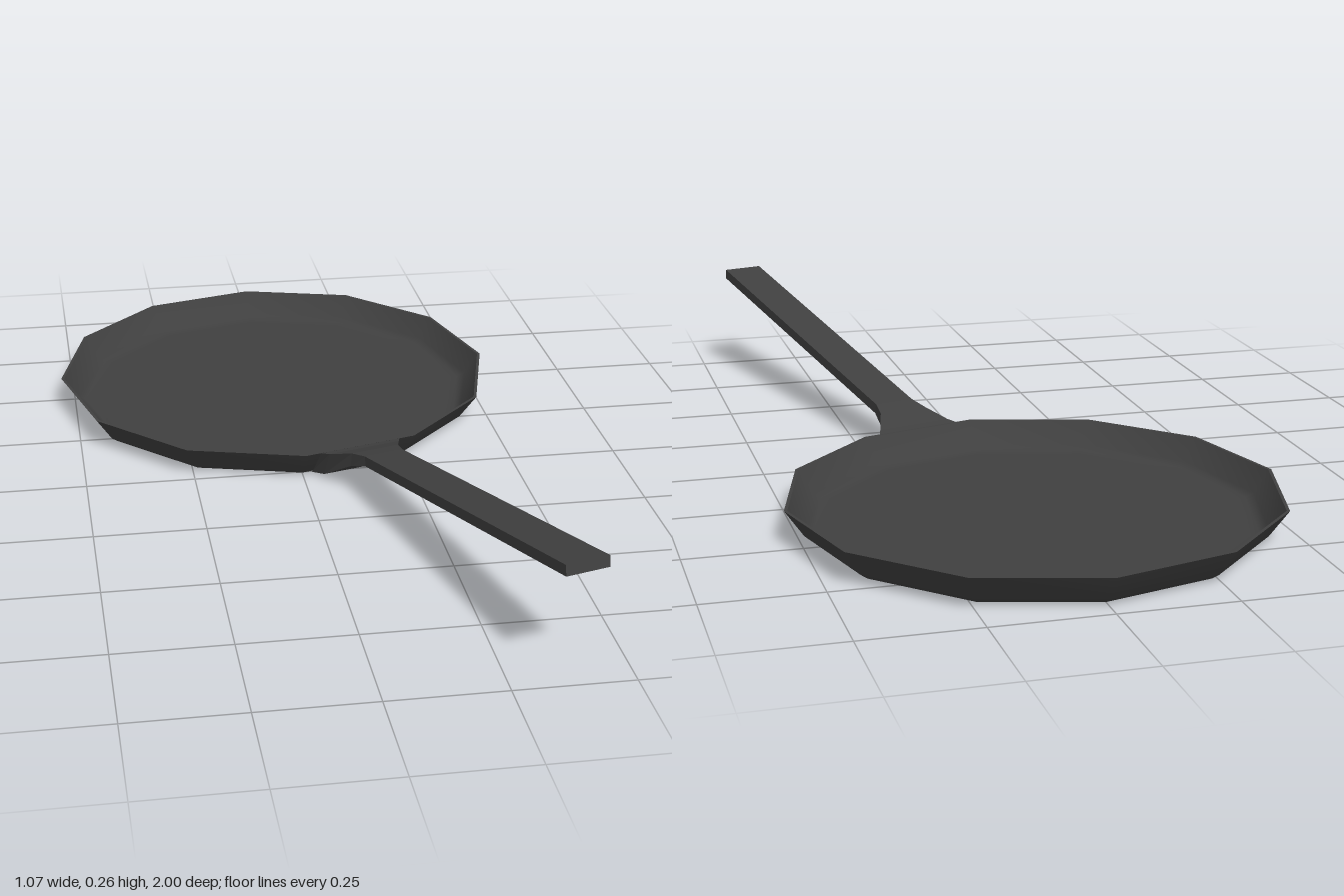
import * as THREE from 'three';

const PAN_Z = -0.467; // centre of the pan
const SIDES = 12;

function lathe(points, material, name) {
  const geo = new THREE.LatheGeometry(points.map(([r, y]) => new THREE.Vector2(r, y)), SIDES);
  const mesh = new THREE.Mesh(geo, material);
  mesh.name = name;
  return mesh;
}

// Loft through rectangular sections; z may differ between top and bottom of a section
function loft(sections) {
  const pos = [], index = [];
  for (const { zt, zb, w, yt, yb } of sections) {
    pos.push(-w, yt, zt, w, yt, zt, w, yb, zb, -w, yb, zb);
  }
  const last = (sections.length - 1) * 4;
  for (let a = 0; a < last; a += 4) {
    for (let k = 0; k < 4; k++) {
      const p = a + k, q = a + (k + 1) % 4;
      index.push(p, p + 4, q + 4, p, q + 4, q);
    }
  }
  index.push(0, 1, 2, 0, 2, 3);
  index.push(last, last + 2, last + 1, last, last + 3, last + 2);
  const geo = new THREE.BufferGeometry();
  geo.setAttribute('position', new THREE.Float32BufferAttribute(pos, 3));
  geo.setIndex(index);
  const flat = geo.toNonIndexed();
  flat.computeVertexNormals();
  return flat;
}

export function createModel() {
  const iron = new THREE.MeshStandardMaterial({ color: 0x404040 });
  iron.name = 'dark iron';

  const model = new THREE.Group();
  model.name = 'fryingPan';

  // Shallow twelve-sided pan: outer shell, rim and inner surface
  const pan = new THREE.Group();
  pan.name = 'pan';
  pan.add(
    lathe([[0, 0], [0.45, 0], [0.475, 0.002], [0.492, 0.014], [0.533, 0.072]], iron, 'panOutside'),
    lathe([[0.533, 0.072], [0.526, 0.072]], iron, 'panRim'),
    lathe([[0.526, 0.072], [0.494, 0.022], [0.475, 0.013], [0.45, 0.012], [0, 0.012]], iron, 'panInside')
  );
  model.add(pan);

  // Handle: flared bracket against the wall, then a long rising bar
  const bracket = [
    { zt: 0.511, zb: 0.468, w: 0.102, yt: 0.071, yb: 0.004 },
    { zt: 0.535, zb: 0.505, w: 0.088, yt: 0.076, yb: 0.012 },
    { zt: 0.59, zb: 0.585, w: 0.058, yt: 0.096, yb: 0.062 },
    { zt: 0.635, zb: 0.64, w: 0.047, yt: 0.106, yb: 0.083 }
  ];
  const bar = [bracket[3], { zt: 1.503, zb: 1.507, w: 0.048, yt: 0.263, yb: 0.24 }];
  const handle = new THREE.Group();
  handle.name = 'handle';
  for (const [name, sections] of [['handleBracket', bracket], ['handleBar', bar]]) {
    const mesh = new THREE.Mesh(loft(sections), iron);
    mesh.name = name;
    handle.add(mesh);
  }
  handle.rotation.y = Math.PI / 12;
  model.add(handle);

  pan.position.z = handle.position.z = PAN_Z;
  return model;
}
